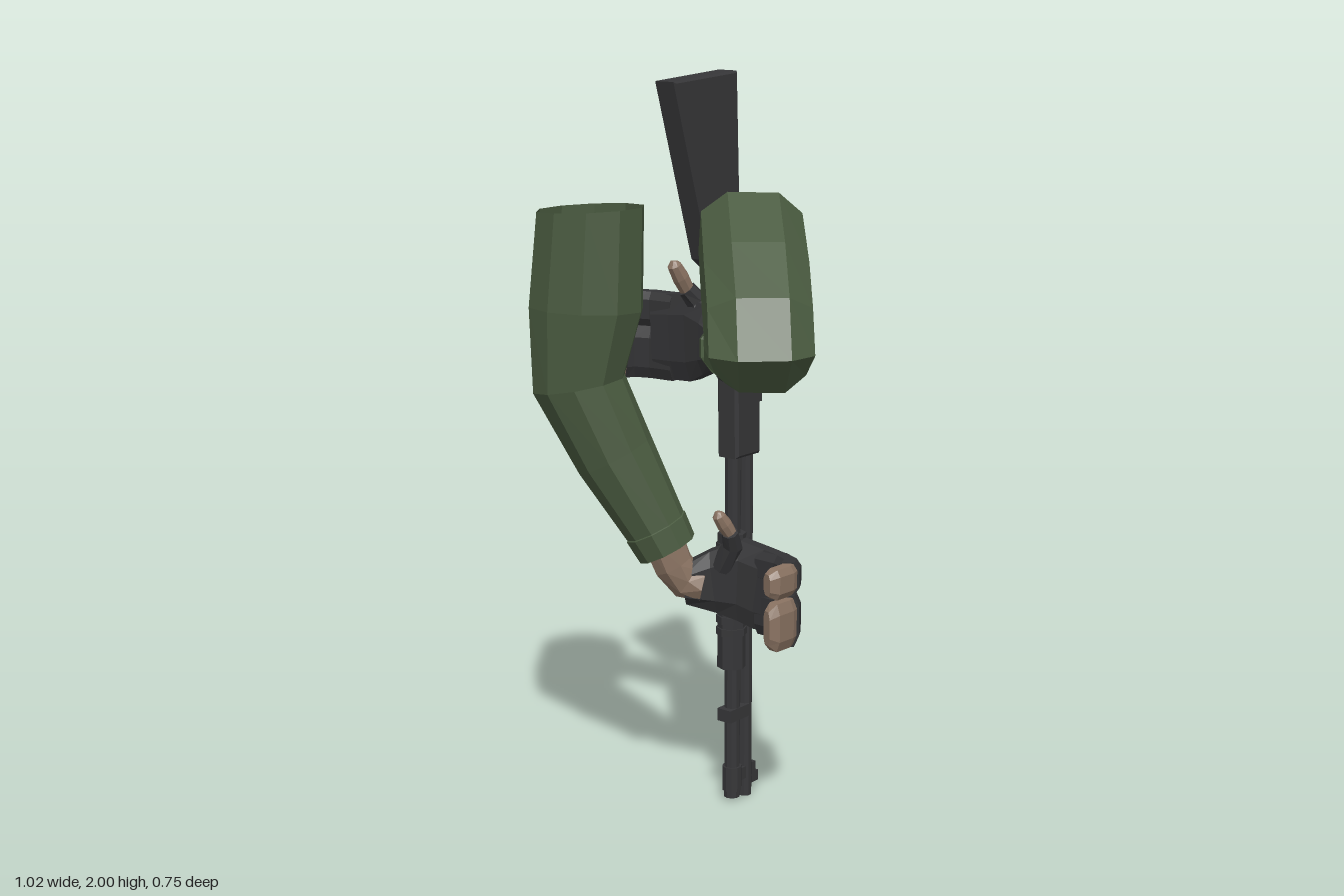
import * as THREE from 'three';

const mat = (name, color, side = THREE.FrontSide) => {
  const m = new THREE.MeshStandardMaterial({ color, flatShading: true, side });
  m.name = name;
  return m;
};

const GX = -0.097; // centre plane of the gun

// Lofts rings [x, y, z, halfU, halfV, normal?] along a path; "ref" fixes the U direction.
function sweep(rings, ref, { sides = 8, cap = true, power = 1 } = {}) {
  const pos = [], idx = [];
  const pts = rings.map(r => new THREE.Vector3(r[0], r[1], r[2]));
  const last = rings.length - 1;
  const sq = t => Math.sign(t) * Math.abs(t) ** power;
  rings.forEach((r, i) => {
    const n = r[5] ? new THREE.Vector3(...r[5])
      : pts[Math.min(i + 1, last)].clone().sub(pts[Math.max(i - 1, 0)]);
    n.normalize();
    const u = new THREE.Vector3(...ref);
    u.addScaledVector(n, -u.dot(n)).normalize();
    const v = n.clone().cross(u);
    for (let j = 0; j < sides; j++) {
      const a = (j + 0.5) / sides * Math.PI * 2;
      const p = pts[i].clone().addScaledVector(u, sq(Math.cos(a)) * r[3])
        .addScaledVector(v, sq(Math.sin(a)) * (r[4] ?? r[3]));
      pos.push(p.x, p.y, p.z);
    }
  });
  for (let i = 0; i < last; i++) for (let j = 0; j < sides; j++) {
    const a = i * sides + j, b = i * sides + (j + 1) % sides;
    idx.push(a, b, a + sides, b, b + sides, a + sides);
  }
  if (cap) for (let j = 1; j < sides - 1; j++) {
    const e = last * sides;
    idx.push(0, j + 1, j, e, e + j, e + j + 1);
  }
  const g = new THREE.BufferGeometry();
  g.setAttribute('position', new THREE.Float32BufferAttribute(pos, 3));
  g.setIndex(idx);
  g.computeVertexNormals();
  return g;
}

export function createModel() {
  const gunMat = mat('gunMetal', 0x363638);
  const gloveMat = mat('gloveBlack', 0x333335);
  const sleeveMat = mat('sleeveGreen', 0x4a5b40, THREE.DoubleSide);
  const skinMat = mat('skin', 0x8a7362);

  const model = new THREE.Group();
  const gun = new THREE.Group(), rightArm = new THREE.Group(), leftArm = new THREE.Group();
  gun.name = 'gun'; rightArm.name = 'rightArm'; leftArm.name = 'leftArm';
  model.add(gun, rightArm, leftArm);

  const add = (group, name, geo, m) => {
    const mesh = new THREE.Mesh(geo, m);
    mesh.name = name;
    group.add(mesh);
    return mesh;
  };
  const box = (name, w, h, d, x, y, z) =>
    add(gun, name, new THREE.BoxGeometry(w, h, d), gunMat).position.set(x, y, z);
  const rod = (name, r, y0, y1, z, sides = 10) =>
    add(gun, name, new THREE.CylinderGeometry(r, r, y1 - y0, sides), gunMat)
      .position.set(GX, (y0 + y1) / 2, z);
  // Side profile given as [z, y], extruded across the gun
  const plate = (name, profile, width, bevel) => {
    const shape = new THREE.Shape(profile.map(p => new THREE.Vector2(...p)));
    const g = new THREE.ExtrudeGeometry(shape, {
      depth: width - 2 * bevel, bevelEnabled: true, bevelSegments: 1,
      bevelSize: bevel, bevelThickness: bevel, bevelOffset: -bevel });
    g.translate(0, 0, -width / 2 + bevel).rotateY(-Math.PI / 2).translate(GX, 0, 0);
    add(gun, name, g, gunMat);
  };

  // Stock, grip and receiver
  plate('stock', [[0.022, 1.985], [-0.228, 2], [-0.24, 1.66], [-0.262, 1.46], [-0.2, 1.43],
    [-0.15, 1.5], [-0.118, 1.525]], 0.068, 0.005);
  plate('grip', [[-0.116, 1.535], [-0.247, 1.58], [-0.264, 1.45], [-0.314, 1.34], [-0.32, 1.29],
    [-0.22, 1.29], [-0.22, 1.38], [-0.185, 1.465]], 0.076, 0.012);
  plate('receiver', [[-0.222, 1.36], [-0.302, 1.36], [-0.332, 1.235], [-0.333, 0.98], [-0.23, 0.98],
    [-0.226, 1.2]], 0.07, 0.008);
  box('ejectionPort', 0.006, 0.13, 0.035, GX - 0.036, 1.1, -0.29);

  // Trigger and guard
  const guard = add(gun, 'triggerGuard', new THREE.TorusGeometry(0.045, 0.006, 5, 14), gunMat);
  guard.rotation.y = Math.PI / 2;
  guard.scale.y = 1.2;
  guard.position.set(GX, 1.25, -0.222);
  box('trigger', 0.012, 0.012, 0.045, GX, 1.26, -0.21);

  // Barrel, magazine tube and clamps
  rod('barrel', 0.02, 0, 1, -0.312);
  rod('magazineTube', 0.022, 0.01, 1, -0.256);
  rod('magazineCap', 0.027, 0.03, 0.1, -0.256);
  box('barrelClamp', 0.046, 0.035, 0.085, GX, 0.255, -0.262);
  box('muzzleClamp', 0.03, 0.035, 0.08, GX, 0.07, -0.285);

  // Ribbed pump
  rod('pump', 0.039, 0.39, 0.77, -0.252, 8);
  for (let i = 0; i < 8; i++) rod('pumpRib', 0.043, 0.485 + i * 0.034, 0.505 + i * 0.034, -0.252, 8);

  // Sights
  box('frontSightBase', 0.026, 0.06, 0.02, GX, 0.06, -0.335);
  box('frontSightBlade', 0.01, 0.03, 0.03, GX, 0.04, -0.352);
  box('rearSightBase', 0.052, 0.1, 0.018, GX, 1.17, -0.338);
  for (const s of [-1, 1]) box('rearSightWing', 0.006, 0.035, 0.05, GX + s * 0.023, 1.205, -0.355);
  const peep = add(gun, 'rearSightRing', new THREE.TorusGeometry(0.007, 0.003, 5, 10), gunMat);
  peep.rotation.x = Math.PI / 2;
  peep.position.set(GX, 1.2, -0.365);

  // Right sleeve, cuff and wrist
  add(rightArm, 'rightSleeve', sweep([
    [-0.352, 1.65, 0.018, 0.147, 0.138, [0.06, -1, 0]], [-0.365, 1.39, 0.025, 0.157, 0.148, [0, -1, 0.05]],
    [-0.375, 1.19, 0.045, 0.128, 0.122], [-0.3, 1.0, -0.01, 0.108], [-0.2, 0.785, -0.075, 0.082],
  ], [1, 0, 0], { cap: false, sides: 10 }), sleeveMat);
  add(rightArm, 'rightCuff', sweep([
    [-0.213, 0.812, -0.067, 0.076], [-0.21, 0.805, -0.069, 0.088], [-0.185, 0.745, -0.087, 0.082],
    [-0.183, 0.741, -0.088, 0.06],
  ], [1, 0, 0], { cap: false, sides: 10 }), sleeveMat);
  add(rightArm, 'rightWrist', sweep([
    [-0.2, 0.78, -0.08, 0.058], [-0.175, 0.7, -0.1, 0.055], [-0.15, 0.655, -0.125, 0.052],
    [-0.11, 0.645, -0.15, 0.05],
  ], [1, 0, 0]), skinMat);

  // Left sleeve, cuff and wrist
  const hinge = [0.7, 0, -0.7];
  add(leftArm, 'leftSleeve', sweep([
    [0.15, 1.63, -0.01, 0.132, 0.128, [0.58, -0.49, 0.65]], [0.258, 1.535, 0.108, 0.134, 0.128, [0.58, -0.52, 0.62]],
    [0.335, 1.465, 0.195, 0.132, 0.12, [0.4, -0.85, 0.42]], [0.375, 1.395, 0.24, 0.132, 0.118, [0, -1, 0]],
    [0.36, 1.38, 0.22, 0.115, 0.1, [-0.6, -0.6, -0.5]], [0.2, 1.357, 0.085, 0.087],
    [0.06, 1.328, -0.035, 0.067],
  ], hinge, { cap: false, power: 0.78 }), sleeveMat);
  add(leftArm, 'leftCuff', sweep([
    [0.085, 1.332, -0.014, 0.062], [0.08, 1.331, -0.018, 0.076], [0.038, 1.322, -0.055, 0.071],
    [0.034, 1.321, -0.058, 0.05],
  ], hinge, { cap: false, sides: 10 }), sleeveMat);
  add(leftArm, 'leftWrist', sweep([
    [0.06, 1.325, -0.035, 0.055], [0.01, 1.315, -0.095, 0.055], [-0.03, 1.31, -0.13, 0.055],
    [-0.07, 1.31, -0.145, 0.05],
  ], hinge), skinMat);

  // Gloved hand: palm, joined fingers and forefinger [y, half height] bent along [x, z], bare tips, thumb
  const hand = (group, side, palm, bend, tip, fingers, thumb) => {
    const up = [0, 1, 0];
    add(group, side + 'Palm', sweep(palm, up, { power: 0.7 }), gloveMat);
    for (const [name, y, h] of fingers) {
      const rings = (list, r, k) => list.map(([x, z, s = 1]) => [x, y, z, h * k * s, r * s]);
      add(group, side + 'Glove' + name, sweep(rings(bend, 0.031, 1.05), up, { power: 0.65 }), gloveMat);
      add(group, side + 'Bare' + name, sweep(rings(tip, 0.026, 0.97), up, { power: 0.65 }), skinMat);
    }
    add(group, side + 'GloveThumb', sweep(thumb.slice(0, 3), [1, 0, 0]), gloveMat);
    const [x, y, z, r] = thumb[2], e = thumb[3];
    add(group, side + 'ThumbTip', sweep([[x, y, z, r * 0.85],
      [(x + e[0]) / 2, (y + e[1]) / 2, (z + e[2]) / 2, r * 0.95], e,
      [e[0], e[1] + 0.012, e[2], 0.01]], [1, 0, 0]), skinMat);
  };

  hand(rightArm, 'right', [
    [-0.155, 0.645, -0.12, 0.055, 0.04], [-0.09, 0.655, -0.17, 0.09, 0.042],
    [-0.02, 0.665, -0.198, 0.118, 0.036], [0.04, 0.65, -0.208, 0.12, 0.032],
    [0.1, 0.647, -0.206, 0.116, 0.03],
  ], [[0.04, -0.208], [0.11, -0.204], [0.152, -0.185], [0.168, -0.155]],
  [[0.158, -0.18], [0.172, -0.14], [0.17, -0.09], [0.162, -0.072, 0.7]],
  [['Fingers', 0.597, 0.07], ['Forefinger', 0.713, 0.044]],
  [[-0.06, 0.7, -0.17, 0.035], [-0.025, 0.765, -0.165, 0.028], [-0.018, 0.805, -0.145, 0.022],
    [-0.032, 0.855, -0.115, 0.018]]);

  hand(leftArm, 'left', [
    [-0.025, 1.31, -0.125, 0.06, 0.045], [-0.08, 1.315, -0.138, 0.095, 0.045],
    [-0.14, 1.315, -0.145, 0.122, 0.04], [-0.2, 1.31, -0.144, 0.12, 0.036],
    [-0.26, 1.307, -0.138, 0.116, 0.032],
  ], [[-0.2, -0.144], [-0.27, -0.138], [-0.322, -0.12], [-0.338, -0.09]],
  [[-0.336, -0.1], [-0.344, -0.07], [-0.34, -0.04], [-0.332, -0.025, 0.7]],
  [['Fingers', 1.262, 0.07], ['Forefinger', 1.378, 0.046]],
  [[-0.1, 1.36, -0.15, 0.035], [-0.125, 1.41, -0.14, 0.03], [-0.14, 1.445, -0.115, 0.024],
    [-0.148, 1.51, -0.075, 0.019]]);

  return model;
}
